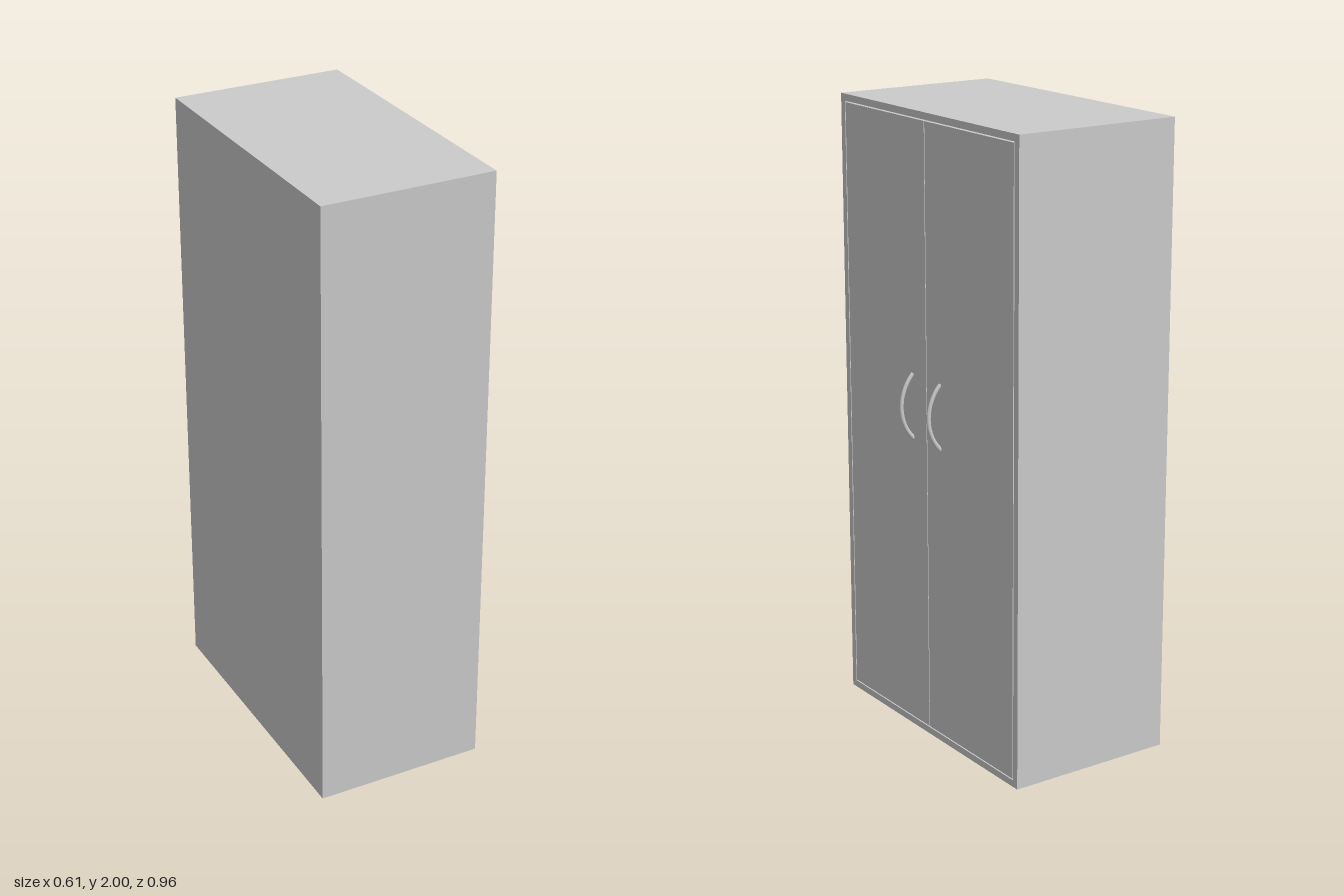
import * as THREE from 'three';

const material = new THREE.MeshStandardMaterial({ color: 0xcccccc });

export function createModel() {
  const cabinet = new THREE.Group();
  cabinet.name = 'cabinet';

  const back = -0.305, front = 0.25, halfWidth = 0.48, height = 2;
  const wall = 0.022, gap = 0.004, doorDepth = 0.022, seam = 0.006;

  // Box given by its min and max corners
  function panel(name, [x0, y0, z0], [x1, y1, z1]) {
    const mesh = new THREE.Mesh(new THREE.BoxGeometry(x1 - x0, y1 - y0, z1 - z0), material);
    mesh.position.set((x0 + x1) / 2, (y0 + y1) / 2, (z0 + z1) / 2);
    mesh.name = name;
    cabinet.add(mesh);
  }

  // Carcass
  const inner = halfWidth - wall;
  panel('sidePanelNear', [back, 0, inner], [front, height, halfWidth]);
  panel('sidePanelFar', [back, 0, -halfWidth], [front, height, -inner]);
  panel('topPanel', [back, height - wall, -inner], [front, height, inner]);
  panel('bottomPanel', [back, 0, -inner], [front, wall, inner]);
  panel('backPanel', [back, wall, -inner], [back + wall, height - wall, inner]);

  // Pair of doors set flush inside the frame
  const y0 = wall + gap, y1 = height - wall - gap, x0 = front - doorDepth;
  panel('doorNear', [x0, y0, seam + 0.0015], [front, y1, inner - gap]);
  panel('doorFar', [x0, y0, -inner + gap], [front, y1, seam - 0.0015]);

  // Bowed handles: a flattened tube along a circular arc
  const halfChord = 0.104, bow = 0.043;
  const radius = (halfChord ** 2 + bow ** 2) / (2 * bow);
  const sweep = Math.asin(halfChord / radius);
  const points = [];
  for (let i = 0; i <= 16; i++) {
    const a = sweep * (i / 8 - 1);
    points.push(new THREE.Vector3(radius * (Math.cos(a) - 1) + bow, radius * Math.sin(a), 0));
  }
  const handleGeometry = new THREE.TubeGeometry(new THREE.CatmullRomCurve3(points), 32, 0.007, 12);
  handleGeometry.scale(1, 1, 0.65);
  handleGeometry.computeVertexNormals();
  for (const [name, z] of [['handleNear', 0.082], ['handleFar', -0.071]]) {
    const handle = new THREE.Mesh(handleGeometry, material);
    handle.name = name;
    handle.position.set(front, 1.08, z);
    cabinet.add(handle);
  }

  return cabinet;
}
